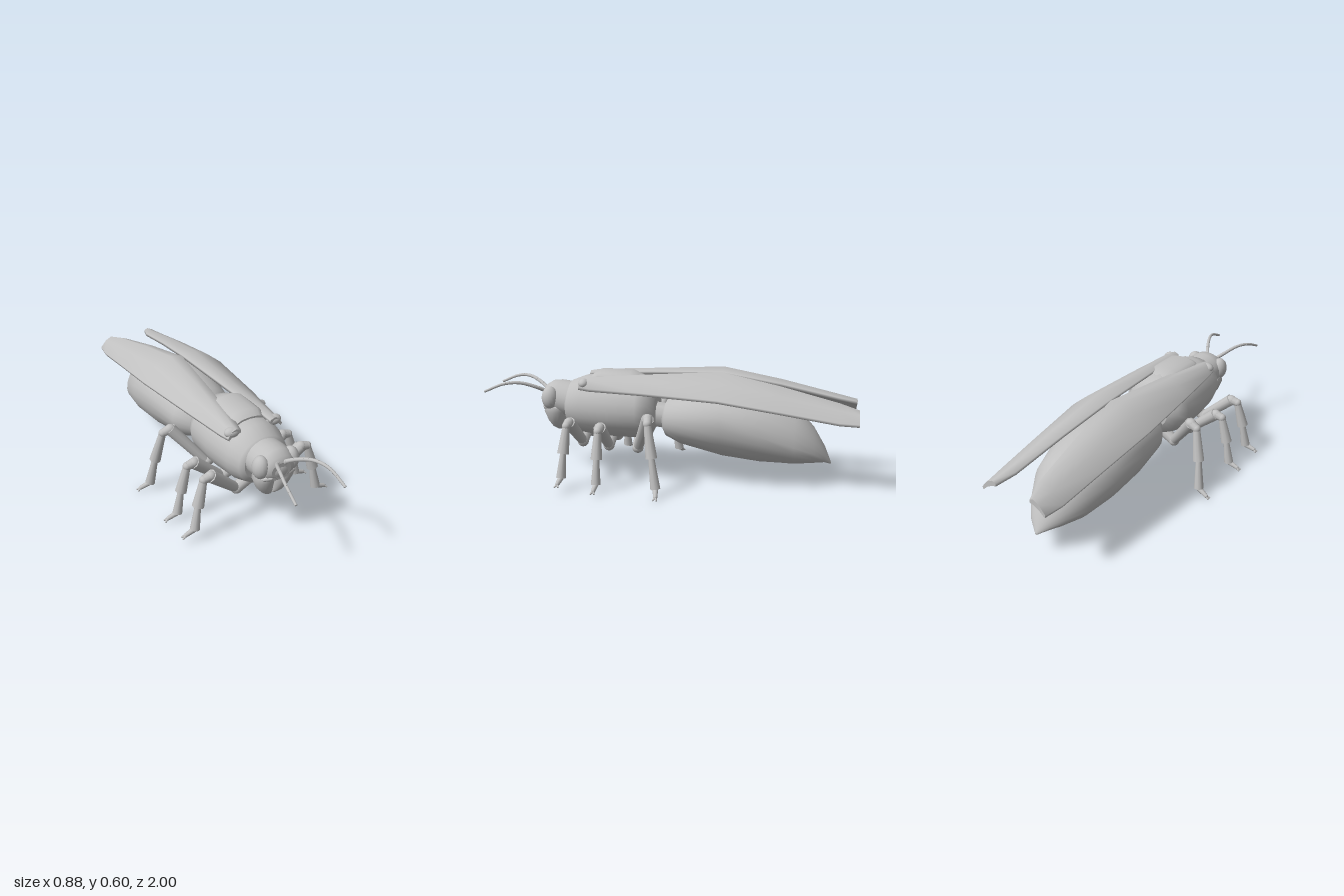
import * as THREE from 'three';

const shell = new THREE.MeshStandardMaterial({ color: 0xc0c0c0 });
shell.name = 'pale grey shell';
const V = (x, y, z) => new THREE.Vector3(x, y, z);

// Skin over closed rings, listed from high z to low z, each anticlockwise seen from +z
function loft(rings) {
  const n = rings[0].length, pos = [], idx = [];
  rings.forEach(r => r.forEach(p => pos.push(p.x, p.y, p.z)));
  for (let i = 0; i < rings.length - 1; i++) {
    for (let j = 0; j < n; j++) {
      const a = i * n + j, b = i * n + (j + 1) % n, c = a + n, d = b + n;
      idx.push(a, c, b, b, c, d);
    }
  }
  [0, rings.length - 1].forEach((i, end) => {
    const c = rings[i].reduce((s, p) => s.add(p), V(0, 0, 0)).divideScalar(n);
    const start = pos.length / 3;
    rings[i].forEach(p => pos.push(p.x, p.y, p.z));
    pos.push(c.x, c.y, c.z);
    for (let j = 0; j < n; j++) {
      const a = start + j, b = start + (j + 1) % n;
      idx.push(start + n, end ? b : a, end ? a : b);
    }
  });
  const g = new THREE.BufferGeometry();
  g.setAttribute('position', new THREE.Float32BufferAttribute(pos, 3));
  g.setIndex(idx);
  g.computeVertexNormals();
  return g;
}

// Oval ring: z, half width, top, bottom, height of the widest point (0..1), centre x
function oval([z, w, top, bottom, belly = 0.5, cx = 0], n = 24) {
  const mid = bottom + (top - bottom) * belly;
  return Array.from({ length: n }, (_, i) => {
    const t = i / n * Math.PI * 2, s = Math.sin(t);
    return V(cx + w * Math.cos(t), mid + s * (s > 0 ? top - mid : mid - bottom), z);
  });
}

function add(group, name, geometry) {
  const mesh = new THREE.Mesh(geometry, shell);
  mesh.name = name;
  group.add(mesh);
  return mesh;
}

function segment(group, name, a, b, ra, rb) {
  const mesh = add(group, name, new THREE.CylinderGeometry(rb, ra, a.distanceTo(b), 10));
  mesh.position.copy(a).lerp(b, 0.5);
  mesh.quaternion.setFromUnitVectors(V(0, 1, 0), b.clone().sub(a).normalize());
}

function ball(group, name, p, rx, ry = rx, rz = rx) {
  const mesh = add(group, name, new THREE.SphereGeometry(1, 16, 12));
  mesh.position.copy(p);
  mesh.scale.set(rx, ry, rz);
  return mesh;
}

function makeLeg(s, { name, hip, knee, foot }) {
  const leg = new THREE.Group();
  leg.name = name;
  // hip, knee and foot give [height, z]; x is shared by all legs
  const [hy, hz] = hip, [ky, kz] = knee, [fy, fz] = foot;
  const along = (x, t, dy = 0) => V(s * x, ky + (fy - ky) * t + dy, kz + (fz - kz) * t);
  const root = V(s * 0.02, hy + 0.05, hz), elbow = V(s * 0.1, hy, hz);
  const kneeTop = V(s * 0.265, ky - 0.025, kz), bend = along(0.305, 0.1);
  const shin = along(0.342, 0.52), ankle = along(0.365, 0.9);
  segment(leg, 'coxa', root, elbow, 0.035, 0.03);
  ball(leg, 'hipJoint', elbow, 0.031);
  segment(leg, 'femur', elbow, kneeTop, 0.026, 0.033);
  ball(leg, 'kneeJoint', kneeTop, 0.031, 0.026, 0.026);
  segment(leg, 'kneeLink', kneeTop, bend, 0.026, 0.022);
  ball(leg, 'shinJoint', bend, 0.022);
  segment(leg, 'upperShin', bend, shin, 0.019, 0.031);
  segment(leg, 'lowerShin', shin, ankle, 0.016, 0.026);
  const toe = V(s * 0.418, fy + 0.016, fz + (fz - kz) * 0.05);
  segment(leg, 'foot', ankle, toe, 0.015, 0.011);
  ball(leg, 'toeJoint', toe, 0.011);
  for (const d of [-1, 1]) segment(leg, 'claw', toe, V(s * 0.438, fy + 0.005, toe.z + d * 0.01), 0.007, 0.004);
  return leg;
}

// Wing case: inner edge, ridge and outer edge at each station along z
function makeWing(s) {
  const stations = [
    [0.46, 0.085, 0.535, 0.11, 0.545, 0.155, 0.505],
    [0.40, 0.075, 0.545, 0.11, 0.555, 0.165, 0.50],
    [0.10, 0.04, 0.565, 0.09, 0.575, 0.205, 0.498],
    [-0.29, 0.003, 0.583, 0.075, 0.60, 0.244, 0.485],
    [-0.60, 0.035, 0.525, 0.09, 0.54, 0.228, 0.438],
    [-0.90, 0.07, 0.455, 0.105, 0.468, 0.212, 0.39],
    [-1.00, 0.105, 0.43, 0.125, 0.44, 0.195, 0.382],
  ];
  return loft(stations.map(([z, ix, iy, rx, ry, ox, oy]) => {
    const mx = (rx + ox) / 2, my = (ry + oy) / 2 + 0.012;
    const ring = [V(ox, oy, z), V(mx, my, z), V(rx, ry, z), V(ix, iy, z),
      V(ix, iy - 0.015, z), V(rx, ry - 0.028, z), V(mx, my - 0.03, z), V(ox - 0.005, oy - 0.015, z)];
    if (s < 0) ring.reverse().forEach(p => { p.x = -p.x; });
    return ring;
  }));
}

export function createModel() {
  const model = new THREE.Group();
  model.name = 'beetle';

  // Trunk
  add(model, 'thorax', loft([
    [0.55, 0.115, 0.475, 0.28], [0.535, 0.142, 0.51, 0.25], [0.46, 0.165, 0.54, 0.22],
    [0.3, 0.19, 0.56, 0.208], [0.15, 0.19, 0.555, 0.21], [0.09, 0.165, 0.53, 0.23],
    [0.06, 0.11, 0.46, 0.28],
  ].map(r => oval(r))));
  add(model, 'backPlate', loft([
    [0.41, 0.075, 0.555, 0.51], [0.37, 0.09, 0.578, 0.51], [0.2, 0.09, 0.578, 0.51], [0.14, 0.07, 0.55, 0.51],
  ].map(r => oval(r, 16))));
  segment(model, 'waist', V(0, 0.34, 0.08), V(0, 0.33, 0), 0.07, 0.07);
  add(model, 'abdomen', loft([
    [0.025, 0.07, 0.385, 0.255], [0.005, 0.12, 0.425, 0.225], [-0.08, 0.18, 0.475, 0.188],
    [-0.3, 0.22, 0.515, 0.135, 0.55], [-0.5, 0.215, 0.49, 0.113, 0.5], [-0.68, 0.175, 0.415, 0.11, 0.42],
    [-0.78, 0.115, 0.305, 0.118, 0.4], [-0.84, 0.06, 0.205, 0.122, 0.4], [-0.875, 0.006, 0.122, 0.11],
  ].map(r => oval(r))));

  // Head with a raised rear collar and brow
  const head = new THREE.Group();
  head.name = 'head';
  model.add(head);
  add(head, 'skull', loft([
    [0.692, 0.055, 0.45, 0.37], [0.68, 0.085, 0.48, 0.35], [0.645, 0.1, 0.503, 0.33],
    [0.6, 0.108, 0.508, 0.31], [0.53, 0.11, 0.5, 0.3],
  ].map(r => oval(r))));
  ball(head, 'facePlate', V(0, 0.4, 0.672), 0.06, 0.045, 0.026);
  add(head, 'upperLip', loft([
    [0.69, 0.055, 0.385, 0.36], [0.675, 0.095, 0.395, 0.35], [0.6, 0.105, 0.4, 0.34],
  ].map(r => oval(r, 16))));

  for (const s of [1, -1]) {
    const side = s > 0 ? 'left' : 'right';
    ball(head, side + 'Eye', V(s * 0.085, 0.425, 0.64), 0.042, 0.062, 0.046);
    // Jaw stacked upwards, lofted along z and then stood upright
    const jaw = loft([
      [-0.235, 0.012, 0.625, 0.6, 0.5, s * 0.014], [-0.255, 0.028, 0.645, 0.59, 0.5, s * 0.03],
      [-0.29, 0.043, 0.662, 0.575, 0.5, s * 0.045], [-0.345, 0.054, 0.682, 0.56, 0.5, s * 0.055],
      [-0.375, 0.05, 0.68, 0.56, 0.5, s * 0.051],
    ].map(r => oval(r, 16)));
    add(head, side + 'Jaw', jaw.rotateX(Math.PI / 2));

    // Antenna: base bead and a tapering curved feeler
    const path = new THREE.CatmullRomCurve3([
      V(s * 0.02, 0.445, 0.68), V(s * 0.055, 0.475, 0.73), V(s * 0.095, 0.503, 0.81),
      V(s * 0.122, 0.498, 0.89), V(s * 0.135, 0.455, 0.995)]);
    ball(head, side + 'AntennaBase', V(s * 0.022, 0.447, 0.682), 0.016);
    for (let i = 0; i < 14; i++) {
      segment(head, side + 'Antenna', path.getPoint(i / 14), path.getPoint((i + 1) / 14),
        0.011 - i * 0.0003, 0.0107 - i * 0.0003);
    }

    // Wing case and its shoulder hinge
    add(model, side + 'Wing', makeWing(s));
    ball(model, side + 'WingHinge', V(s * 0.12, 0.52, 0.435), 0.042, 0.027, 0.03);

    // Three legs
    [
      { name: side + 'FrontLeg', hip: [0.195, 0.455], knee: [0.365, 0.48], foot: [0.037, 0.503] },
      { name: side + 'MiddleLeg', hip: [0.18, 0.31], knee: [0.345, 0.315], foot: [0.012, 0.315] },
      { name: side + 'HindLeg', hip: [0.175, 0.15], knee: [0.405, 0.06], foot: [0, -0.005] },
    ].forEach(spec => model.add(makeLeg(s, spec)));
  }
  return model;
}
